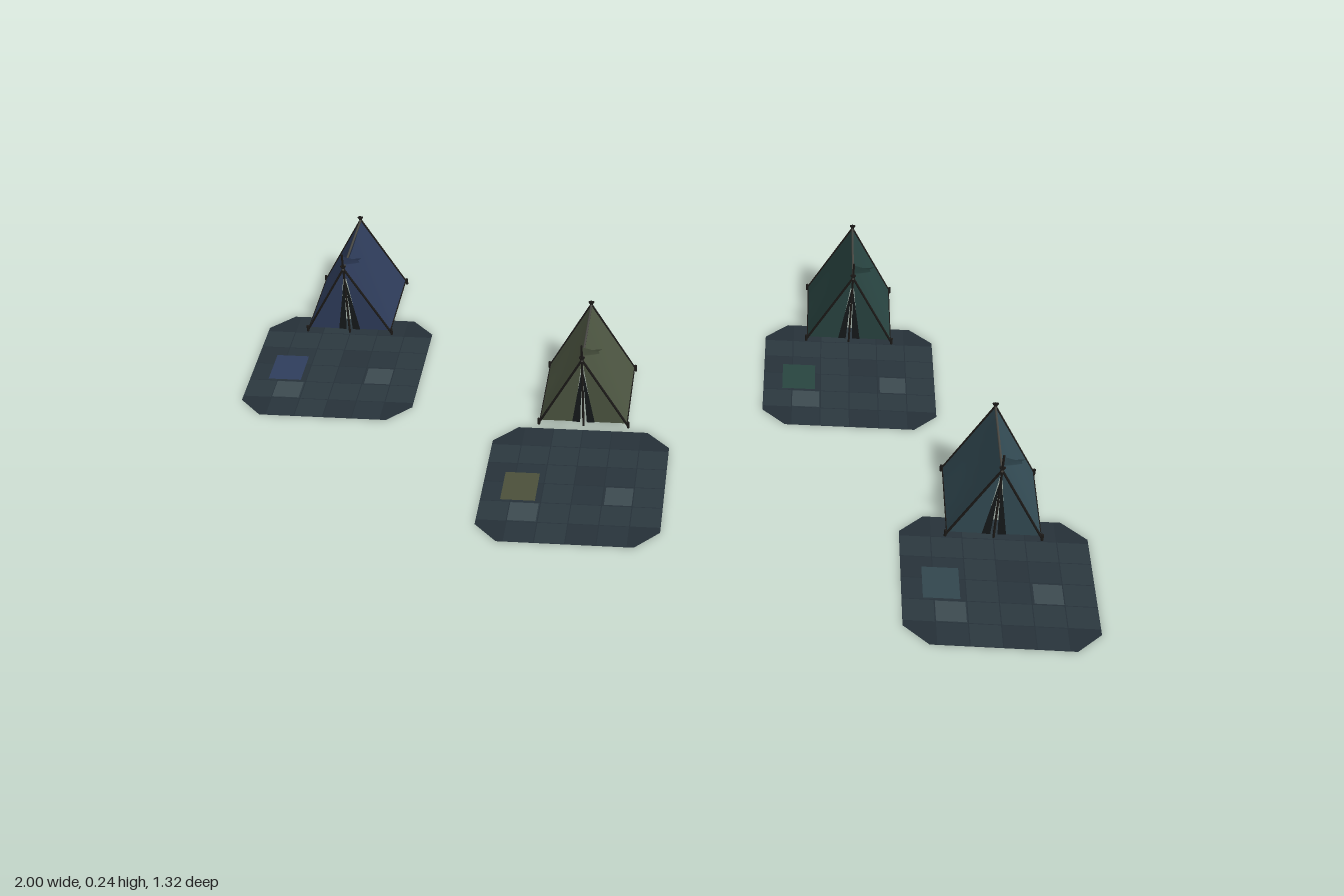
import * as THREE from 'three';

const HALF = 0.209, CUT = 0.055;            // yard half size and corner cut
const W = 0.104, L = 0.232;                 // tent half width and length
const EAVE = 0.014, RIDGE = 0.195;

const mat = (color) => new THREE.MeshStandardMaterial({ color, side: THREE.DoubleSide });
const wood = mat(0x1c1a18), ridgeWood = mat(0x4a4a45), lining = mat(0x15191b);

function add(parent, name, geometry, material) {
  const mesh = new THREE.Mesh(geometry, material);
  mesh.name = name;
  parent.add(mesh);
  return mesh;
}

// Round pole between two points
function pole(parent, name, a, b, radius, material = wood) {
  const from = new THREE.Vector3(...a), to = new THREE.Vector3(...b);
  const dir = to.clone().sub(from);
  const mesh = add(parent, name, new THREE.CylinderGeometry(radius, radius, dir.length(), 6), material);
  mesh.position.copy(from).addScaledVector(dir, 0.5);
  mesh.quaternion.setFromUnitVectors(new THREE.Vector3(0, 1, 0), dir.normalize());
}

// Flat polygon facing +z
function flat(points) {
  return new THREE.ShapeGeometry(new THREE.Shape(points.map(([x, y]) => new THREE.Vector2(x, y))));
}

// Horizontal rectangle facing up
function patch(parent, name, x0, x1, z0, z1, y, material) {
  const mesh = add(parent, name, new THREE.PlaneGeometry(x1 - x0, z1 - z0).rotateX(-Math.PI / 2), material);
  mesh.position.set((x0 + x1) / 2, y, (z0 + z1) / 2);
}

// Paved yard with chamfered corners
function buildYard(accent) {
  const yard = new THREE.Group();
  yard.name = 'yard';
  const c = HALF - CUT;
  const outline = [[HALF, -c], [HALF, c], [c, HALF], [-c, HALF], [-HALF, c], [-HALF, -c], [-c, -HALF], [c, -HALF]];
  add(yard, 'ground', flat(outline).rotateX(-Math.PI / 2), mat(0x253037));
  const shades = [mat(0x28343b), mat(0x2b383f), mat(0x273239)];
  const n = 6, s = 2 * HALF / n, gap = 0.0012;
  for (let i = 0; i < n; i++) {
    for (let j = 0; j < n; j++) {
      if ((i === 0 || i === n - 1) && (j === 0 || j === n - 1)) continue;
      const x = -HALF + i * s, z = -HALF + j * s;
      patch(yard, 'pavingTile', x + gap, x + s - gap, z + gap, z + s - gap, 0.001, shades[(i * 5 + j * 7 + i * j) % 3]);
    }
  }
  const grey = mat(0x3c4a50);
  patch(yard, 'colouredMat', -0.163, -0.083, -0.035, 0.065, 0.002, accent);
  patch(yard, 'greyMat', -0.138, -0.073, 0.075, 0.138, 0.003, grey);
  patch(yard, 'greyMat', 0.075, 0.138, 0.005, 0.068, 0.002, grey);
  return yard;
}

// Ridge tent, front at z = 0 and back at z = -L
function buildTent(canvas) {
  const tent = new THREE.Group();
  tent.name = 'tent';
  for (const side of [-1, 1]) {
    // Roof panel sagging between the two frames
    const roof = new THREE.PlaneGeometry(1, 1, 10, 6);
    const p = roof.attributes.position;
    for (let i = 0; i < p.count; i++) {
      const along = p.getX(i) + 0.5, up = p.getY(i) + 0.5;
      const span = Math.sin(Math.PI * along);
      const sag = 0.014 * span * up;
      const dent = 0.004 * span * Math.sin(Math.PI * up);
      p.setXYZ(i, side * (W * (1 - up) - dent), EAVE + (RIDGE - EAVE) * up - sag, -L * (side > 0 ? along : 1 - along));
    }
    roof.computeVertexNormals();
    add(tent, 'roofPanel', roof, canvas);

    // Front wall half and its dark door flap
    const wall = [[side * W, EAVE], [0, RIDGE], [side * 0.024, EAVE]];
    add(tent, 'frontWall', flat(wall), canvas).position.z = -0.003;
    const flap = [[side * 0.027, EAVE], [0, RIDGE - 0.02], [side * 0.008, EAVE]];
    add(tent, 'doorFlap', flat(flap), lining).position.z = -0.001;

    // Sloping frame poles and corner pegs at both ends
    for (const z of [0, -L]) {
      pole(tent, 'framePole', [side * (W + 0.003), 0.008, z], [-side * 0.005, 0.205, z], 0.0028);
      pole(tent, 'cornerPeg', [side * (W + 0.003), 0.004, z], [side * (W + 0.003), 0.02, z], 0.0035);
    }
    pole(tent, 'eaveRope', [side * W, EAVE, 0], [side * W, EAVE, -L], 0.0018);
  }
  add(tent, 'backWall', flat([[-W, EAVE], [W, EAVE], [0, RIDGE]]).rotateY(Math.PI), canvas).position.z = -L + 0.002;
  pole(tent, 'ridgePole', [0, RIDGE, 0.003], [0, RIDGE, -L - 0.003], 0.0028, ridgeWood);
  pole(tent, 'frontPole', [0, 0.005, 0], [0, 0.237, 0], 0.0028);
  pole(tent, 'backPole', [0, 0.005, -L], [0, 0.206, -L], 0.0028);

  // Swallow-tailed flag with a gentle wave
  const flag = flat([[0, 0.209], [0.024, 0.212], [0.042, 0.215], [0.039, 0.222], [0.05, 0.229], [0.024, 0.227], [0, 0.233]]);
  const f = flag.attributes.position;
  for (let i = 0; i < f.count; i++) f.setZ(i, 0.003 * Math.sin(f.getX(i) * 120));
  flag.computeVertexNormals();
  add(tent, 'flag', flag, canvas);
  return tent;
}

export function createModel() {
  const model = new THREE.Group();
  model.name = 'camp';
  // x, yard centre z, tent front z, canvas colour, mat colour
  const camps = [
    [-0.79, -0.235, -0.378, 0x2e3c5a, 0x2f3d5c],
    [-0.16, 0.188, -0.033, 0x4c5541, 0x4b503a],
    [0.473, -0.288, -0.428, 0x284340, 0x284540],
    [0.79, 0.451, 0.31, 0x324a53, 0x32464e],
  ];
  for (const [x, yardZ, tentZ, canvas, accent] of camps) {
    const yard = buildYard(mat(accent));
    yard.position.set(x, 0, yardZ);
    const tent = buildTent(mat(canvas));
    tent.position.set(x, 0, tentZ);
    model.add(yard, tent);
  }
  return model;
}
